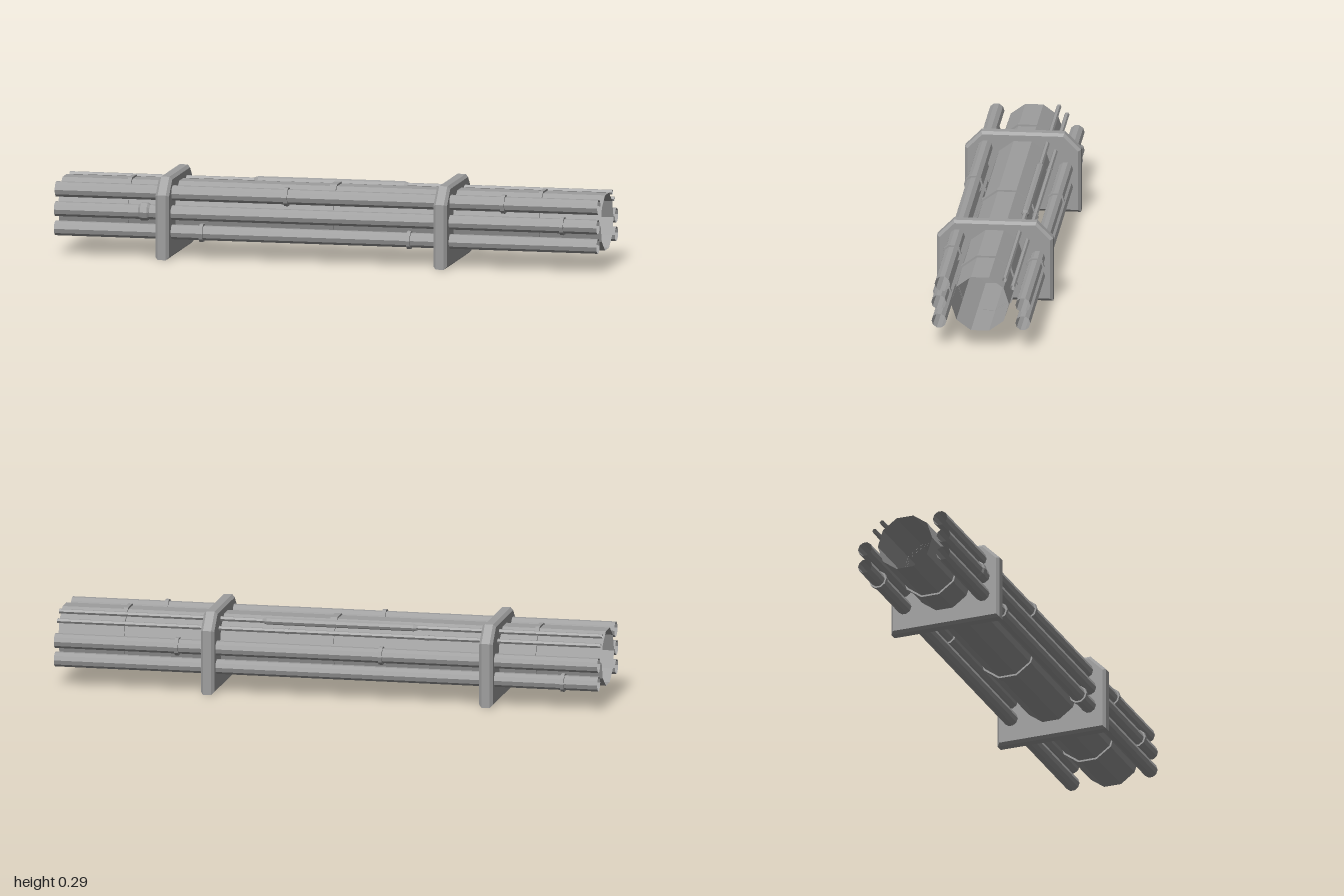
import * as THREE from 'three';

const material = new THREE.MeshStandardMaterial({ color: 0x9e9e9e, flatShading: true, side: THREE.DoubleSide });

export function createModel() {
  const group = new THREE.Group();

  const add = (name, geometry, x, y, z) => {
    const mesh = new THREE.Mesh(geometry, material);
    mesh.name = name;
    mesh.position.set(x, y, z);
    group.add(mesh);
  };

  // Open pipe running the full length along x
  const pipe = (name, radius, y, z, sides) =>
    add(name, new THREE.CylinderGeometry(radius, radius, 2, sides, 1, true).rotateZ(Math.PI / 2), 0, y, z);

  // Shape turned around the x axis from [radius, position] points
  const turned = (name, points, x, y, z, sides) => {
    const profile = points.map(([r, l]) => new THREE.Vector2(r, l));
    add(name, new THREE.LatheGeometry(profile, sides).rotateZ(-Math.PI / 2), x, y, z);
  };

  // Flat-sided ring that sits around a pipe
  const ring = (name, inner, outer, width, x, y, z, sides) => {
    const h = width / 2;
    turned(name, [[inner, -h], [outer, -h], [outer, h], [inner, h]], x, y, z, sides);
  };

  // Main pipe with its bands
  const mainY = 0.163;
  pipe('mainPipe', 0.1055, mainY, 0, 10);
  for (const [x, width] of [[-0.75, 0.015], [0, 0.025], [0.765, 0.015]]) {
    ring('mainPipeBand', 0.105, 0.1125, width, x, mainY, 0, 10);
  }

  // Side pipes and thin conduits: height, depth, radius, collar positions
  const pipes = [
    { name: 'upperFrontPipe', y: 0.235, z: 0.136, r: 0.028, collars: [-0.15, 0.65] },
    { name: 'middleFrontPipe', y: 0.165, z: 0.149, r: 0.027, collars: [0.87] },
    { name: 'lowerFrontPipe', y: 0.095, z: 0.148, r: 0.027, collars: [-0.46, 0.305] },
    { name: 'upperBackPipe', y: 0.163, z: -0.155, r: 0.027, collars: [-0.2, 0.55] },
    { name: 'lowerBackPipe', y: 0.095, z: -0.155, r: 0.027, collars: [-0.87] },
    { name: 'upperConduit', y: 0.257, z: -0.089, r: 0.009, collars: [] },
    { name: 'lowerConduit', y: 0.228, z: -0.118, r: 0.009, collars: [-0.36, 0.155] },
  ];
  for (const { name, y, z, r, collars } of pipes) {
    const sides = r > 0.02 ? 10 : 6;
    pipe(name, r, y, z, sides);
    for (const x of collars) ring(name + 'Collar', r * 0.98, r * 1.24, 0.014, x, y, z, sides);
  }

  // Thicker sleeve with tapered ends on the upper conduit
  turned('conduitSleeve', [[0.009, -0.285], [0.014, -0.27], [0.014, 0.27], [0.009, 0.285]], -0.035, 0.257, -0.089, 8);

  // Chamfered joint on the middle front pipe
  turned('pipeJoint', [[0.026, -0.021], [0.033, -0.012], [0.033, 0.012], [0.026, 0.021]], -0.67, 0.166, 0.149, 10);

  // Support plates with cut upper corners and bevelled edges
  const b = 0.01;
  const outline = [
    [-0.2, b], [0.2, b], [0.2, 0.231], [0.146, 0.285], [-0.146, 0.285], [-0.2, 0.231],
  ].map(([u, v]) => new THREE.Vector2(u, v));
  const plate = new THREE.ExtrudeGeometry(new THREE.Shape(outline), {
    depth: 0.03, bevelEnabled: true, bevelThickness: b, bevelSize: b, bevelSegments: 1,
  }).translate(0, 0, -0.015).rotateY(Math.PI / 2);
  for (const x of [-0.595, 0.43]) add('supportPlate', plate, x, 0, 0);

  return group;
}
